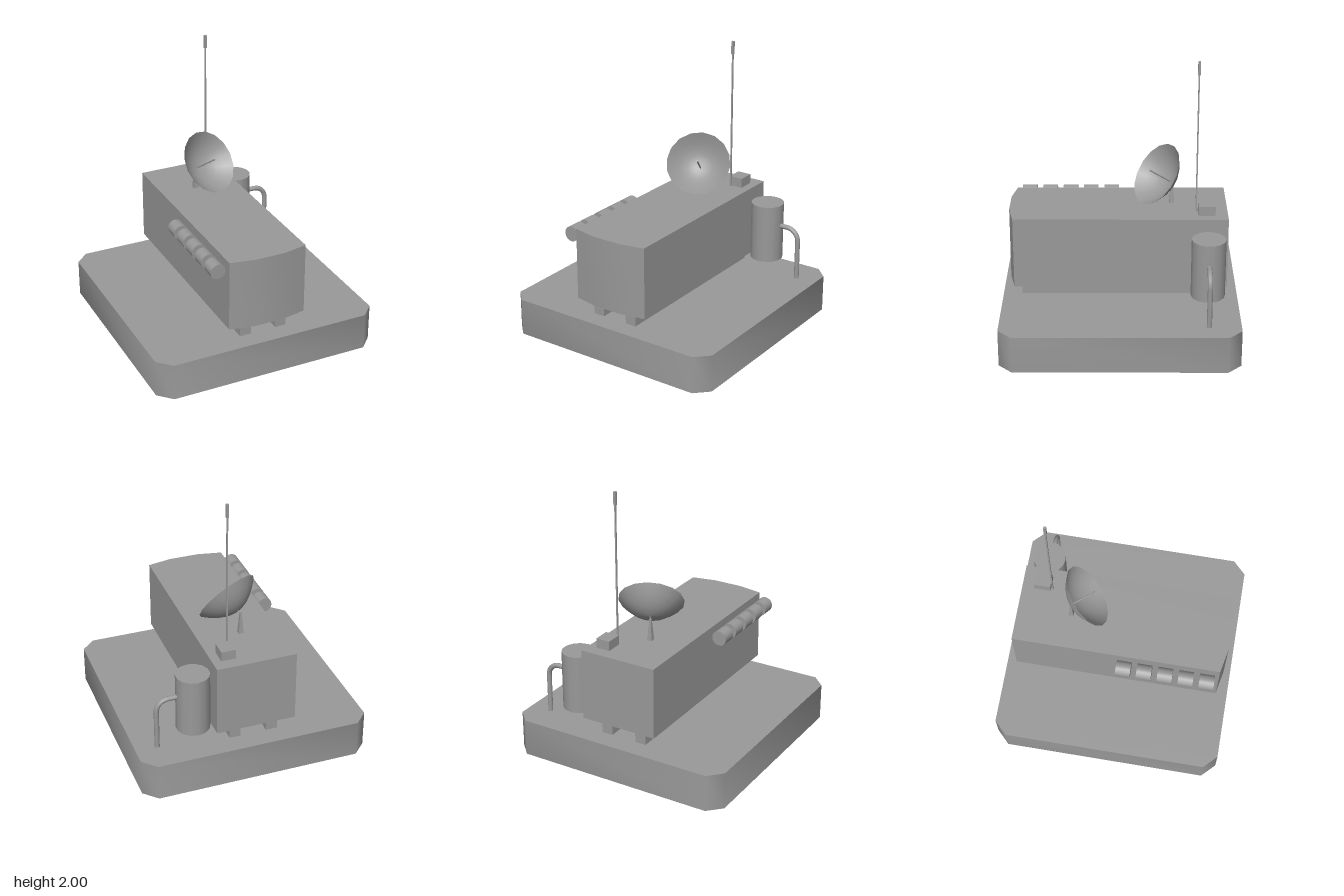
import * as THREE from 'three';
import { toCreasedNormals } from 'three/addons/utils/BufferGeometryUtils.js';

export function createModel() {
  const model = new THREE.Group();
  const grey = new THREE.MeshStandardMaterial({ color: 0x999999 });
  const greyThin = new THREE.MeshStandardMaterial({ color: 0x999999, side: THREE.DoubleSide });

  function add(name, geometry, x = 0, y = 0, z = 0, parent = model, material = grey) {
    const mesh = new THREE.Mesh(geometry, material);
    mesh.name = name;
    mesh.position.set(x, y, z);
    parent.add(mesh);
    return mesh;
  }

  // Upright prism from a plan outline of [x, z] points, gentle corners smoothed
  function prism(outline, height) {
    const shape = new THREE.Shape(outline.map(([x, z]) => new THREE.Vector2(x, -z)));
    const geometry = new THREE.ExtrudeGeometry(shape, { depth: height, bevelEnabled: false });
    geometry.rotateX(-Math.PI / 2);
    return toCreasedNormals(geometry, 0.9);
  }

  // Base slab with cut corners
  const w = 0.831, d = 0.837, c = 0.095;
  add('base', prism([
    [-w + c, d], [w - c, d], [w, d - c], [w, -d + c],
    [w - c, -d], [-w + c, -d], [-w, -d + c], [-w, d - c],
  ], 0.27));

  // Cabin with a bowed front, standing on two rails
  add('cabin', prism([
    [-0.287, 0.75], [-0.111, 0.785], [0.111, 0.785], [0.287, 0.75],
    [0.287, -0.755], [-0.287, -0.755],
  ], 0.52), 0, 0.38, 0);
  for (const x of [-0.139, 0.132]) {
    add('rail', new THREE.BoxGeometry(0.082, 0.11, 1.395), x, 0.325, 0.005);
  }

  // Row of canisters along the right side
  const canister = new THREE.CylinderGeometry(0.055, 0.055, 0.107, 16).rotateX(Math.PI / 2);
  for (let i = 0; i < 5; i++) add('canister', canister, -0.355, 0.834, 0.066 + i * 0.15);

  // Tank and its bent pipe
  add('tank', new THREE.CylinderGeometry(0.12, 0.12, 0.43, 14), 0.412, 0.595, -0.613);
  const path = new THREE.CurvePath();
  const v = (x, y) => new THREE.Vector3(x, y, -0.613);
  path.add(new THREE.LineCurve3(v(0.51, 0.648), v(0.584, 0.648)));
  path.add(new THREE.CubicBezierCurve3(v(0.584, 0.648), v(0.634, 0.648), v(0.674, 0.608), v(0.674, 0.558)));
  path.add(new THREE.LineCurve3(v(0.674, 0.558), v(0.674, 0.265)));
  add('pipe', new THREE.TubeGeometry(path, 40, 0.018, 10));

  // Roof box and whip antenna
  add('roofBox', new THREE.BoxGeometry(0.104, 0.07, 0.12), 0.172, 0.935, -0.606);
  add('antennaRod', new THREE.BoxGeometry(0.01, 1.02, 0.01), 0.137, 1.41, -0.534);
  add('antennaTip', new THREE.BoxGeometry(0.018, 0.095, 0.018), 0.137, 1.9525, -0.534);

  // Dish: shallow rounded bowl with a feed rod, aimed forward, up and to the left
  const depth = 0.13, radius = 0.232;
  const aim = new THREE.Vector3(0.36, 0.57, 0.74).normalize();
  const dish = new THREE.Group();
  dish.name = 'dish';
  dish.quaternion.setFromUnitVectors(new THREE.Vector3(0, 1, 0), aim);
  dish.position.set(0.036, 1.141, -0.255).addScaledVector(aim, -depth);
  const profile = [0, 0.2, 0.4, 0.6, 0.8, 1].map(
    (t) => new THREE.Vector2(radius * t, depth * t * t));
  add('dishBowl', new THREE.LatheGeometry(profile, 16), 0, 0, 0, dish, greyThin);
  add('feedRod', new THREE.CylinderGeometry(0.006, 0.006, 0.2, 6), 0, 0.095, 0, dish);
  model.add(dish);

  // Tapered dish mount
  const mount = new THREE.CylinderGeometry(0.008, 0.026, 0.17, 4).rotateY(Math.PI / 4);
  add('dishMount', toCreasedNormals(mount, 0.5), -0.025, 0.98, -0.367);

  return model;
}
